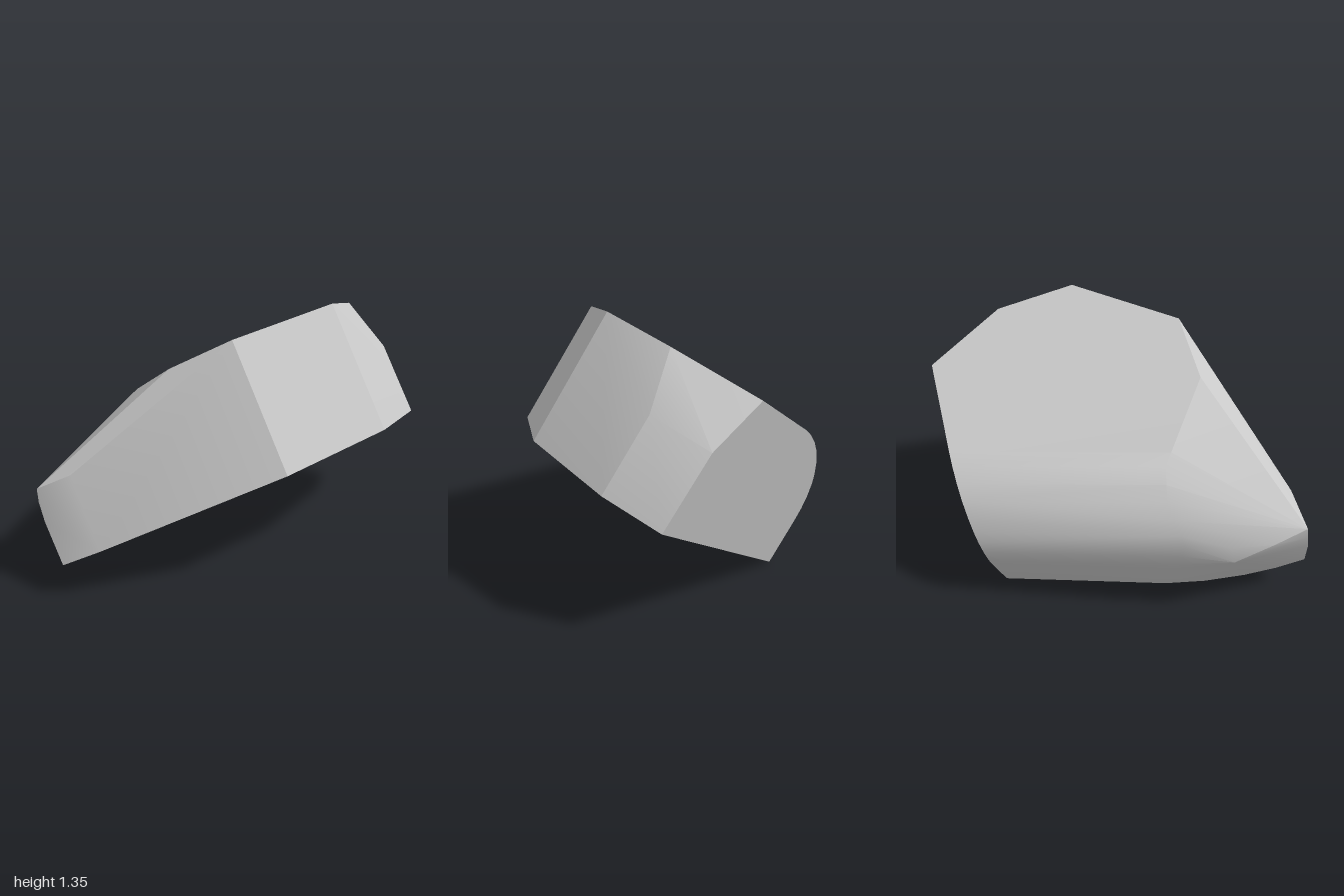
import * as THREE from 'three';
import { ConvexGeometry } from 'three/addons/geometries/ConvexGeometry.js';
import { toCreasedNormals } from 'three/addons/utils/BufferGeometryUtils.js';

const TILT = 0.0872;   // rise of the block's long axis per unit of z
const SLOPE = 0.637;   // slope of the parallel base and top across x

// Height u is measured at z = 0 and carried along the tilted axis.
const point = (x, u, z) => new THREE.Vector3(x, u + TILT * z, z);
const onBase = (x, z) => point(x, 0.357 + SLOPE * x, z);
const onTop = (x, z) => point(x, 1.172 + SLOPE * x, z);
const onBack = (x, u) =>
  point(x, u, -(0.215 * (x + 0.485) + 0.201 * u + 0.397) / 0.7395);

export function createModel() {
  const group = new THREE.Group();
  const stoneGrey = new THREE.MeshStandardMaterial({ color: 0xc8c8c8 });
  stoneGrey.name = 'stoneGrey';

  // Flat underside outline
  const base = [[0.69, -0.25], [0.5, 0.335], [-0.18, 0.92], [-0.37, 1.0], [-0.41, 0.86],
    [-0.445, 0.7], [-0.475, 0.5], [-0.49, 0.3], [0.595, -0.765]].map(([x, z]) => onBase(x, z));

  // Flat upper face corners
  const top = [[0.325, -0.295], [0.135, 0.28], [-0.15, 0.41], [0.21, -0.67]]
    .map(([x, z]) => onTop(x, z));

  // Rounded left side: the same profile at the back cut and at the front ring [x, u, front z]
  const side = [[-0.48, 0.864, 0.3], [-0.535, 0.822, 0.28], [-0.595, 0.76, 0.29],
    [-0.64, 0.692, 0.3], [-0.672, 0.613, 0.33], [-0.688, 0.535, 0.37], [-0.69, 0.475, 0.39],
    [-0.678, 0.4, 0.38], [-0.655, 0.33, 0.36], [-0.62, 0.265, 0.34]];
  const round = side.flatMap(([x, u, z]) => [onBack(x, u), point(x, u, z)]);

  // Remaining corners of the back cut
  const back = [[-0.485, 0.048], [0.42, 0.6245], [0.2, 0.952], [-0.07, 1.127]]
    .map(([x, u]) => onBack(x, u));

  // Nose, its curved flank and the chipped rear corner
  const nose = [[-0.39, 0.655, 0.88], [-0.555, 0.56, 0.96], [-0.54, 0.495, 0.97],
    [-0.49, 0.405, 0.985], [-0.657, 0.49, 0.61], [-0.652, 0.4, 0.63], [-0.613, 0.495, 0.81],
    [0.38, 1.0, -0.79]].map((p) => new THREE.Vector3(...p));

  const geometry = toCreasedNormals(
    new ConvexGeometry([...base, ...top, ...round, ...back, ...nose]), 0.37);
  const stone = new THREE.Mesh(geometry, stoneGrey);
  stone.name = 'stoneBlock';
  group.add(stone);
  return group;
}
